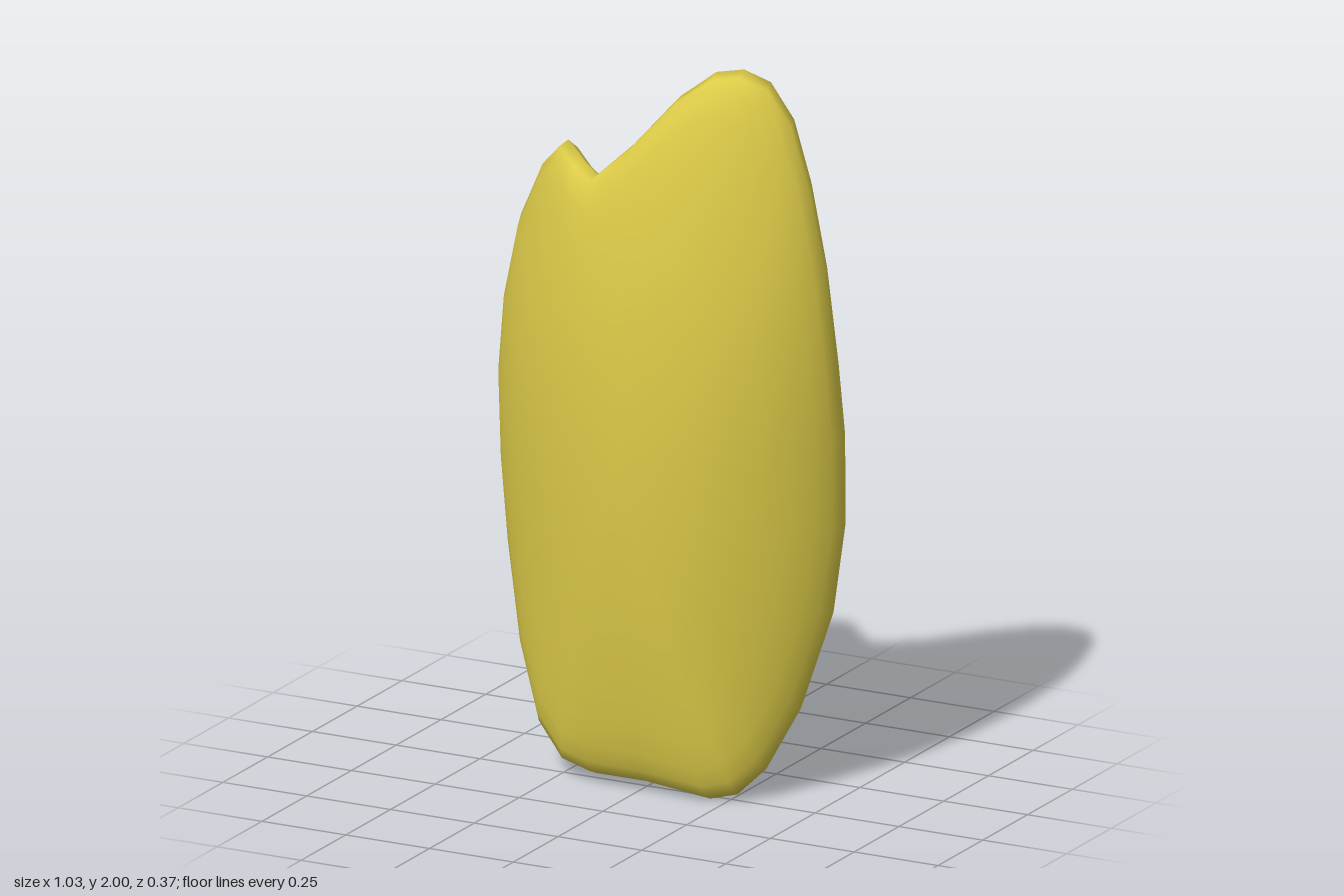
import * as THREE from 'three';

// Rim of the plate as [x, y, z], counter-clockwise seen from the front
const RIM = [
  [0.2, 0, 0.02], [0.27, 0.015, -0.005], [0.33, 0.08, -0.055], [0.4, 0.24, -0.12], [0.47, 0.5, -0.172],
  [0.5, 0.75, -0.185], [0.505, 1, -0.172], [0.5, 1.2, -0.145], [0.48, 1.47, -0.118], [0.44, 1.7, -0.105],
  [0.39, 1.87, -0.1], [0.33, 1.97, -0.08], [0.26, 2, -0.06], [0.19, 1.99, -0.035], [0.1, 1.92, 0],
  [-0.02, 1.78, 0.04], [-0.13, 1.68, 0.04], [-0.2, 1.7, -0.005], [-0.27, 1.73, -0.055], [-0.34, 1.66, -0.095],
  [-0.42, 1.5, -0.125], [-0.48, 1.28, -0.16], [-0.51, 1.05, -0.185], [-0.5, 0.8, -0.18], [-0.465, 0.57, -0.15],
  [-0.4, 0.3, -0.09], [-0.32, 0.12, -0.03], [-0.23, 0.04, 0.01], [-0.14, 0.02, 0.02], [0.02, 0.02, 0.02],
];
const RINGS = [0.2, 0.4, 0.55, 0.7, 0.8, 0.88, 0.94, 0.98];
const CENTRE_Y = 0.9;
const HALF_THICKNESS = 0.05;

// Depth of the middle surface: bowed sideways, leaning back at both ends
function depth(x, y) {
  const u = x - 0.03;
  const lean = y < 1.1 ? 0.1 * ((1.1 - y) / 1.1) ** 2 : 0.16 * ((y - 1.1) / 0.9) ** 2;
  return 0.135 - 0.95 * u * u - 3 * u ** 6 - lean;
}

// Point a fraction s of the way from the centre to a rim point,
// on the front (side 1) or back (side -1); the surface bends to meet the rim
function surfacePoint([rx, ry, rz], s, side) {
  const px = rx * 0.985;
  const x = px * s;
  const y = CENTRE_Y + (ry - CENTRE_Y) * s;
  const z = depth(x, y) + (rz - depth(px, ry)) * s ** 4;
  const e = 0.005;
  const normal = new THREE.Vector3(
    (depth(x - e, y) - depth(x + e, y)) / (2 * e),
    (depth(x, y - e) - depth(x, y + e)) / (2 * e), 1).normalize();
  const h = side * HALF_THICKNESS * Math.sqrt(1 - s ** 20);
  return new THREE.Vector3(x, y, z).addScaledVector(normal, h).toArray();
}

function plateGeometry() {
  const n = RIM.length;
  const positions = [];
  const index = [];
  const addRing = (s, side) => RIM.forEach((p) => positions.push(...surfacePoint(p, s, side)));

  // Rings run from the front centre over the rim to the back centre
  positions.push(...surfacePoint(RIM[0], 0, 1));
  RINGS.forEach((s) => addRing(s, 1));
  addRing(1, 1);
  [...RINGS].reverse().forEach((s) => addRing(s, -1));
  positions.push(...surfacePoint(RIM[0], 0, -1));

  const count = RINGS.length * 2 + 1;
  const last = positions.length / 3 - 1;
  for (let i = 0; i < n; i++) {
    const j = (i + 1) % n;
    index.push(0, 1 + i, 1 + j);
    for (let r = 0; r < count - 1; r++) {
      const a = 1 + r * n;
      const b = a + n;
      index.push(a + i, b + i, b + j, a + i, b + j, a + j);
    }
    const a = 1 + (count - 1) * n;
    index.push(a + i, last, a + j);
  }

  const geometry = new THREE.BufferGeometry();
  geometry.setAttribute('position', new THREE.Float32BufferAttribute(positions, 3));
  geometry.setIndex(index);
  geometry.computeVertexNormals();
  return geometry;
}

export function createModel() {
  const group = new THREE.Group();
  const material = new THREE.MeshStandardMaterial({ color: 0xdccb48 });
  const plate = new THREE.Mesh(plateGeometry(), material);
  plate.name = 'curvedPlate';
  group.add(plate);
  return group;
}
